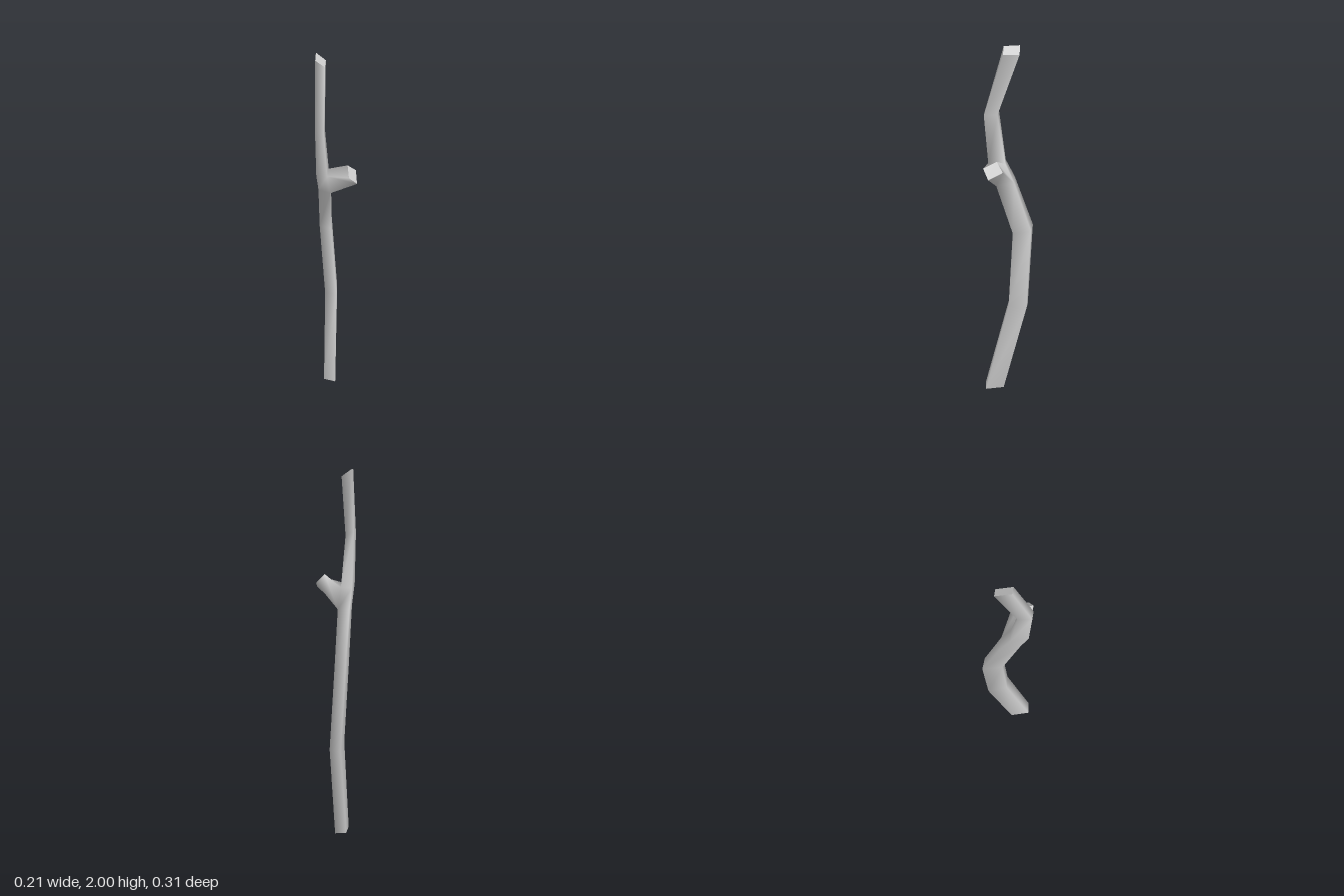
import * as THREE from 'three';

// Four-cornered rings: front-left, front-right, back-right, back-left
const trunkRings = [
  [[-0.07, 0.01, 0.115], [-0.007, 0, 0.132], [0.002, 0, 0.03], [-0.06, 0.01, 0.012]],
  [[-0.05, 0.54, -0.015], [0.012, 0.54, 0.004], [0.025, 0.52, -0.095], [-0.035, 0.51, -0.12]],
  [[-0.075, 0.98, -0.045], [-0.015, 0.97, -0.028], [-0.003, 0.98, -0.125], [-0.062, 0.99, -0.153]],
  [[-0.087, 1.28, 0.05], [-0.028, 1.26, 0.06], [-0.015, 1.27, -0.035], [-0.078, 1.28, -0.055]],
  [[-0.1, 1.39, 0.085], [-0.045, 1.39, 0.098], [-0.03, 1.38, 0.01], [-0.088, 1.38, -0.008]],
  [[-0.105, 1.66, 0.097], [-0.062, 1.65, 0.115], [-0.052, 1.65, 0.045], [-0.095, 1.67, 0.027]],
  [[-0.093, 2, 0], [-0.047, 1.97, 0.017], [-0.036, 1.965, -0.066], [-0.083, 2, -0.083]],
];
const branchEnd = [[0.103, 1.362, 0.137], [0.105, 1.395, 0.06], [0.06, 1.44, 0.08], [0.06, 1.41, 0.152]];
const forkBelow = 3; // the branch leaves the right face between this ring and the next

function makeMesh(name, points, index) {
  const geometry = new THREE.BufferGeometry();
  geometry.setAttribute('position', new THREE.Float32BufferAttribute(points.flat(), 3));
  geometry.setIndex(index);
  geometry.computeVertexNormals();
  const mesh = new THREE.Mesh(geometry, new THREE.MeshStandardMaterial({ color: 0xcccccc }));
  mesh.name = name;
  return mesh;
}

export function createModel() {
  const group = new THREE.Group();
  group.name = 'stick';

  // Bark: smooth skin shared by the trunk and its side branch
  const points = [...trunkRings.flat(), ...branchEnd];
  const index = [];
  const bridge = (from, to, skip = -1) => {
    for (let i = 0; i < 4; i++) {
      if (i === skip) continue;
      const j = (i + 1) % 4;
      index.push(from[i], from[j], to[j], from[i], to[j], to[i]);
    }
  };
  const ring = (r) => [0, 1, 2, 3].map((i) => r * 4 + i);
  for (let r = 0; r < trunkRings.length - 1; r++) {
    bridge(ring(r), ring(r + 1), r === forkBelow ? 1 : -1);
  }
  const low = ring(forkBelow), high = ring(forkBelow + 1);
  bridge([low[1], low[2], high[2], high[1]], ring(trunkRings.length));
  group.add(makeMesh('bark', points, index));

  // Flat cut ends
  const cap = [0, 1, 2, 0, 2, 3];
  group.add(makeMesh('trunkBottomCut', [...trunkRings[0]].reverse(), cap));
  group.add(makeMesh('trunkTopCut', trunkRings[trunkRings.length - 1], cap));
  group.add(makeMesh('branchCut', branchEnd, cap));
  return group;
}
